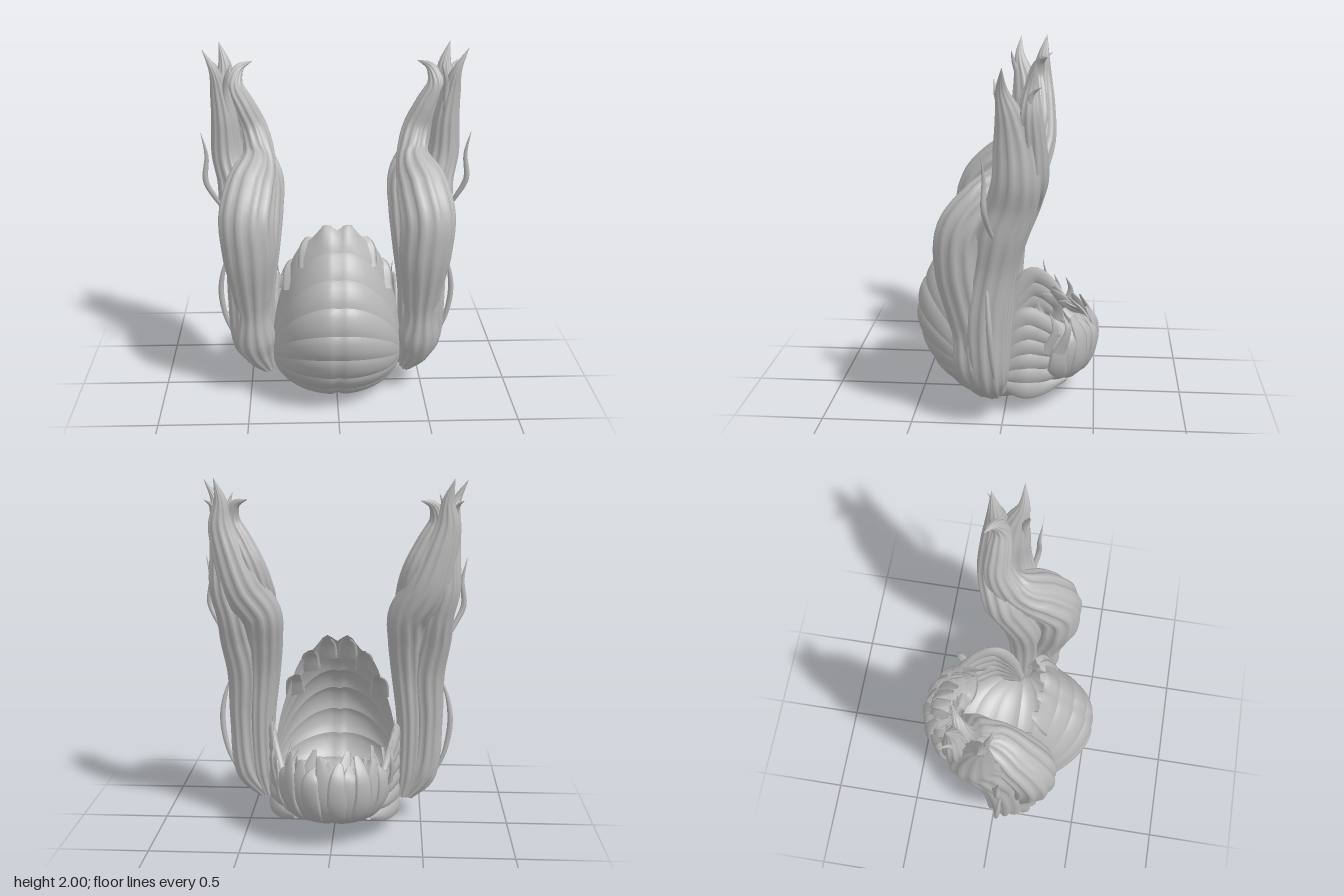
import * as THREE from 'three';

const hair = new THREE.MeshStandardMaterial({ color: 0xb8b8b8, side: THREE.DoubleSide });
hair.name = 'grey hair';
const V = (x, y, z) => new THREE.Vector3(x, y, z);

function mesh(name, pos, index) {
  const g = new THREE.BufferGeometry();
  g.setAttribute('position', new THREE.Float32BufferAttribute(pos, 3));
  g.setIndex(index);
  g.computeVertexNormals();
  const m = new THREE.Mesh(g, hair);
  m.name = name;
  return m;
}

// Surface patch from a rule f(u, v)
function patch(name, f, nu, nv) {
  const pos = [], idx = [];
  for (let j = 0; j <= nv; j++) for (let i = 0; i <= nu; i++) {
    pos.push(...f(i / nu, j / nv).toArray());
    if (i < nu && j < nv) {
      const a = j * (nu + 1) + i, b = a + nu + 1;
      idx.push(a, b, a + 1, a + 1, b, b + 1);
    }
  }
  return mesh(name, pos, idx);
}

// Tapering lock with an oval section; size(t) gives [half width, half thickness],
// flutes is the number of grooves that wind around it
function lock(name, pts, size, outward, steps = 24, flutes = 0) {
  const curve = new THREE.CatmullRomCurve3(pts), pos = [], idx = [];
  const sides = flutes ? flutes * 4 : 8;
  for (let j = 0; j <= steps; j++) {
    const t = j / steps, p = curve.getPoint(t), T = curve.getTangent(t);
    const N = outward(p, t).clone();
    N.addScaledVector(T, -N.dot(T)).normalize();
    const B = T.clone().cross(N), [w, h] = size(t);
    for (let i = 0; i < sides; i++) {
      const a = i / sides * Math.PI * 2;
      const k = flutes ? 1.06 - 0.17 * Math.abs(Math.cos(flutes * a / 2)) ** 4 : 1;
      pos.push(...p.clone().addScaledVector(N, Math.cos(a) * h * k).addScaledVector(B, Math.sin(a) * w * k).toArray());
      if (j < steps) {
        const q = j * sides + i, r = j * sides + (i + 1) % sides;
        idx.push(q, r, q + sides, r, r + sides, q + sides);
      }
    }
  }
  return mesh(name, pos, idx);
}

// Head cap: puffy bands fanning between the two side roots
function cap() {
  const g = new THREE.Group();
  g.name = 'cap';
  const hub = V(0, 0.22, 0.05);
  const prof = new THREE.CatmullRomCurve3([
    [1.07, 0.22], [0.88, 0.35], [0.74, 0.45], [0.6, 0.51], [0.45, 0.52], [0.25, 0.45], [0.12, 0.34],
    [0.03, 0.2], [0.01, 0.05], [0.04, -0.13], [0.13, -0.28], [0.2, -0.34]
  ].map(([y, z]) => V(0, y, z)));
  const bands = 12;
  for (let b = 0; b < bands; b++) {
    g.add(patch('capBand', (u, v) => {
      const t = (u - 0.5) * Math.PI, x = 0.37 * Math.sin(t), ax = Math.abs(x);
      const r = prof.getPointAt((b + v) / bands).sub(hub);
      let k = Math.cos(t) * (1 + (0.014 * Math.sqrt(Math.sin(Math.PI * v)) - 0.014 * Math.exp(-ax * 60)) / r.length());
      // Ragged nape edge, notched in the middle
      if (b === 0) k *= 1 + (1 - v) * (0.02 - 0.05 * Math.abs(Math.sin((ax - 0.07) * 20)));
      return V(x, hub.y + r.y * k, hub.z + r.z * k);
    }, 40, 6));
  }
  // Broad flaps folded in over the nape edge
  for (const s of [1, -1]) for (const x of [0.06, 0.16, 0.25]) {
    const c = Math.sqrt(1 - (x / 0.37) ** 2), y = 0.22 + 0.85 * c, z = 0.05 + 0.17 * c;
    g.add(lock('napeFlap', [V(s * x, y - 0.15, z + 0.07), V(s * x, y - 0.05, z + 0.015), V(s * x * 0.93, y - 0.01, z - 0.03)],
      t => [0.058 * (1 - 0.6 * t * t), 0.008], () => V(s * x, 0.3, 1), 8));
  }
  return g;
}

// Pigtail lobes, rows of: x, y, z, half width, half depth
const front = [
  [0.4, 0.15, 0.08, 0.04, 0.06], [0.46, 0.3, 0.12, 0.1, 0.11], [0.475, 0.6, 0.17, 0.1, 0.11],
  [0.485, 0.9, 0.22, 0.14, 0.13], [0.495, 1.1, 0.21, 0.145, 0.13], [0.47, 1.25, 0.1, 0.135, 0.12],
  [0.43, 1.39, -0.06, 0.085, 0.1], [0.455, 1.52, -0.12, 0.075, 0.08], [0.51, 1.65, -0.12, 0.065, 0.07],
  [0.56, 1.77, -0.12, 0.05, 0.05], [0.53, 1.86, -0.15, 0.025, 0.025], [0.46, 1.89, -0.19, 0.001, 0.001]
];
const outer = [
  [0.41, 0.15, 0.05, 0.04, 0.05], [0.5, 0.3, 0.07, 0.09, 0.1], [0.53, 0.6, 0.08, 0.085, 0.12],
  [0.52, 0.9, 0.04, 0.1, 0.12], [0.55, 1.1, 0, 0.1, 0.13], [0.57, 1.25, -0.05, 0.09, 0.13],
  [0.605, 1.4, -0.08, 0.085, 0.12], [0.615, 1.6, -0.07, 0.07, 0.1], [0.635, 1.75, -0.045, 0.05, 0.065],
  [0.66, 1.87, -0.015, 0.025, 0.03], [0.72, 1.985, -0.02, 0.001, 0.001]
];
const inner = [
  [0.39, 0.15, 0.04, 0.04, 0.05], [0.42, 0.3, 0.05, 0.07, 0.08], [0.43, 0.6, 0.05, 0.075, 0.1],
  [0.41, 0.9, 0.03, 0.09, 0.11], [0.4, 1.1, -0.03, 0.1, 0.11], [0.41, 1.25, -0.09, 0.11, 0.11],
  [0.5, 1.4, -0.15, 0.11, 0.09], [0.57, 1.6, -0.155, 0.09, 0.075], [0.61, 1.75, -0.15, 0.07, 0.06],
  [0.61, 1.88, -0.16, 0.035, 0.035], [0.64, 2, -0.18, 0.001, 0.001]
];
// Thin strands: loose wisps and small end curls
const wisps = [
  [[0.57, 0.28, 0.03], [0.63, 0.42, 0.04], [0.66, 0.6, 0.05], [0.64, 0.75, 0.06], [0.59, 0.88, 0.07]],
  [[0.62, 1.08, 0.02], [0.67, 1.17, 0.05], [0.72, 1.28, 0.07], [0.71, 1.42, 0.07], [0.735, 1.55, 0.08]],
  [[0.6, 1.5, -0.01], [0.6, 1.65, 0], [0.6, 1.78, 0], [0.59, 1.85, 0.02], [0.57, 1.91, 0.03]],
  [[0.6, 1.55, -0.2], [0.62, 1.7, -0.16], [0.65, 1.8, -0.15], [0.66, 1.86, -0.17], [0.69, 1.89, -0.21]]
];

function pigtail(s) {
  const g = new THREE.Group();
  g.name = s > 0 ? 'leftPigtail' : 'rightPigtail';
  for (const [name, rows] of Object.entries({ frontLobe: front, outerLobe: outer, innerLobe: inner })) {
    const sizes = new THREE.CatmullRomCurve3(rows.map(r => V(r[3], r[4], 0)));
    g.add(lock(name, rows.map(r => V(s * r[0], r[1], r[2])),
      t => { const r = sizes.getPoint(t); return [r.x, r.y]; }, () => V(0, 0, 1), 60, 11));
  }
  for (const w of wisps) g.add(lock('wisp', w.map(p => V(s * p[0], p[1], p[2])),
    t => { const k = 0.016 * Math.sin(Math.PI * (0.1 + 0.88 * t)); return [k, k]; }, () => V(0, 0, 1), 20));
  return g;
}

// Side hair sweeping from the pigtail root to the fringe
function sideHair(s) {
  const g = new THREE.Group();
  g.name = s > 0 ? 'leftSideHair' : 'rightSideHair';
  for (let i = 0; i < 6; i++) {
    const k = i / 5;
    g.add(lock('sideLock', [
      V(s * 0.34, 0.2 + 0.06 * k, 0.04), V(s * 0.35, 0.17 + 0.3 * k, -0.03), V(s * 0.35, 0.15 + 0.43 * k, -0.12),
      V(s * (0.29 + 0.04 * k), 0.14 + 0.4 * k, -0.22), V(s * (0.2 + 0.08 * k), 0.16 + 0.27 * k, -0.33)
    ], t => [0.056 * (0.35 + 0.65 * Math.sin(Math.PI * t)), 0.022], p => V(p.x, 0, p.z * 0.6), 20));
  }
  // Upright pointed ends
  for (const [x, y, z] of [[0.34, 0.69, -0.18], [0.33, 0.6, -0.25], [0.31, 0.59, -0.32]])
    g.add(lock('sideSpike', [V(s * 0.32, 0.36, z + 0.02), V(s * 0.33, 0.5, z - 0.03), V(s * x, y, z)],
      t => [0.035 * (1 - t) + 0.001, 0.012 * (1 - t) + 0.001], () => V(s, 0, -0.4), 12));
  return g;
}

// Fringe: two layers of locks fanning from the brow and curling upward
function fringe() {
  const g = new THREE.Group();
  g.name = 'fringe';
  for (let layer = 0; layer < 2; layer++) {
    const n = 12 - layer;
    for (let i = 0; i < n; i++) {
      const a = (i / (n - 1) - 0.5) * 2.5, k = layer ? 0.85 : 0.98 + 0.03 * (i % 2);
      const x = 0.32 * Math.sin(a) * k, z = -0.21 - 0.295 * Math.cos(a) * k;
      const top = 0.54 - 0.03 * ((i * 2 + layer) % 3), lean = 0.03 * Math.sin(i * 2.4 + layer);
      g.add(lock('fringeLock', [
        V(x * 0.3, 0.2, -0.31), V(x * 0.7, 0.17, z * 0.6 - 0.11),
        V(x * 0.97, 0.27, z * 0.97), V(x, 0.42, z), V(x * 0.92 + lean, top, z + 0.05 + layer * 0.06)
      ], t => [0.056 * Math.sqrt(Math.max(0.004, Math.sin(Math.PI * (0.12 + 0.86 * t)))), 0.02 * (1 - 0.8 * t * t)],
      (p, t) => V(Math.sin(a), -0.8 * (1 - t), -Math.cos(a)), 18));
    }
  }
  return g;
}

export function createModel() {
  const model = new THREE.Group();
  model.name = 'hairstyle';
  model.add(cap(), fringe());
  for (const s of [1, -1]) model.add(pigtail(s), sideHair(s));
  return model;
}
